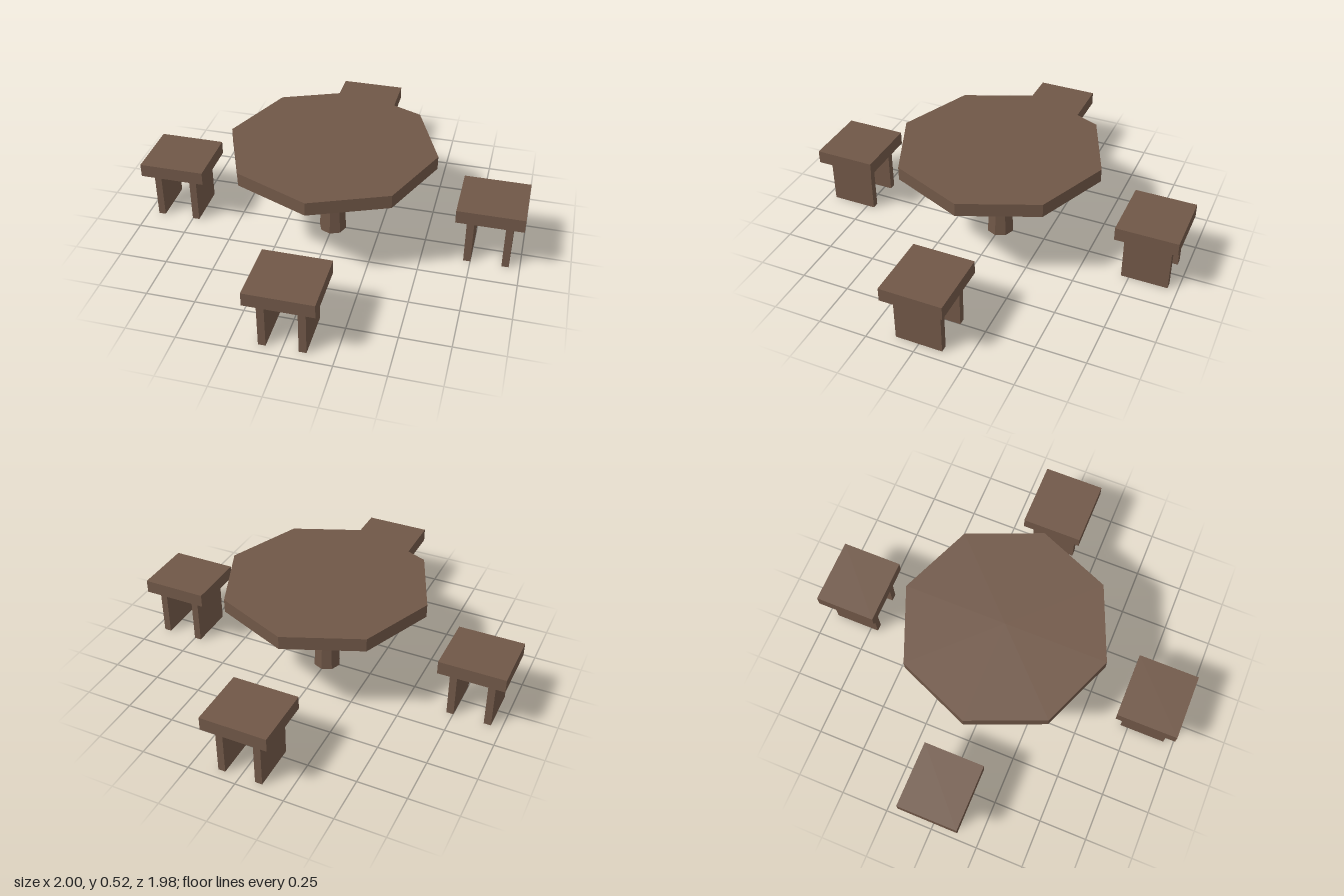
import * as THREE from 'three';

export function createModel() {
  const model = new THREE.Group();
  const wood = new THREE.MeshStandardMaterial({ color: 0x705747 });
  wood.name = 'brown wood';
  wood.flatShading = true;

  const add = (parent, name, geometry, x, y, z) => {
    const mesh = new THREE.Mesh(geometry, wood);
    mesh.name = name;
    mesh.position.set(x, y, z);
    parent.add(mesh);
  };

  // Octagonal table on a tapered pedestal
  const table = new THREE.Group();
  table.name = 'table';
  add(table, 'tableTop', new THREE.CylinderGeometry(0.535, 0.535, 0.07, 8), 0, 0.49, 0);
  add(table, 'pedestal', new THREE.CylinderGeometry(0.052, 0.072, 0.455, 8), 0, 0.2275, 0);
  model.add(table);

  // Four stools, all facing the same way, each with two slab legs
  const seat = new THREE.BoxGeometry(0.34, 0.07, 0.316);
  const leg = new THREE.BoxGeometry(0.037, 0.26, 0.24);
  for (const [name, x, z] of [['front', 0, 0.83], ['back', 0, -0.83], ['left', 0.83, 0], ['right', -0.83, 0]]) {
    const stool = new THREE.Group();
    stool.name = name + 'Stool';
    stool.position.set(x, 0, z);
    add(stool, 'seat', seat, 0, 0.295, 0);
    add(stool, 'leftLeg', leg, 0.097, 0.13, 0);
    add(stool, 'rightLeg', leg, -0.097, 0.13, 0);
    model.add(stool);
  }
  return model;
}
